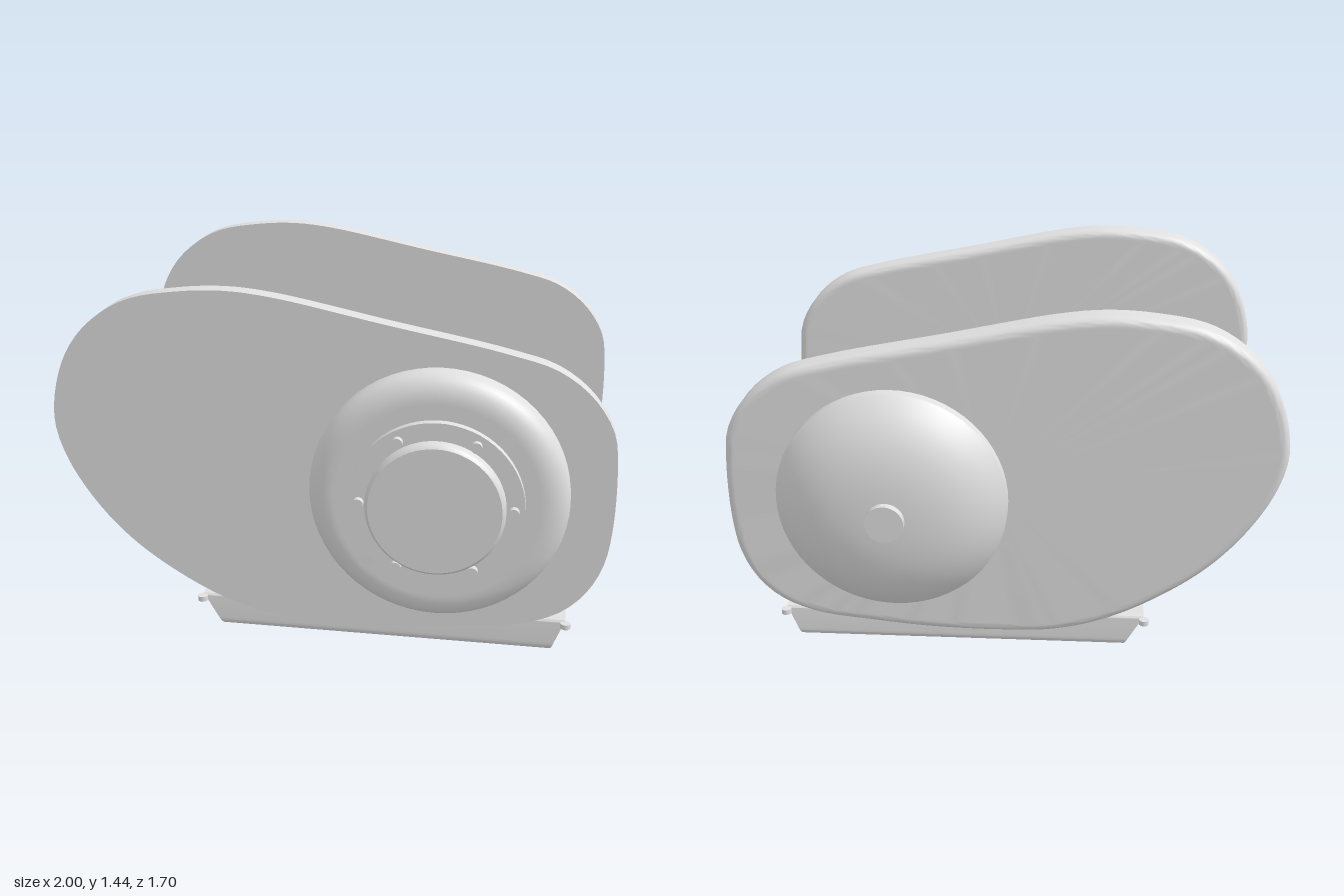
import * as THREE from 'three';
import { toCreasedNormals } from 'three/addons/utils/BufferGeometryUtils.js';

const castMetal = new THREE.MeshStandardMaterial({ color: 0xe0e0e0 });
castMetal.name = 'castMetal';

const HUB_X = 0.395, HUB_Y = 0.752;

function addMesh(parent, name, geometry, x = 0, y = 0, z = 0) {
  const mesh = new THREE.Mesh(geometry, castMetal);
  mesh.name = name;
  mesh.position.set(x, y, z);
  parent.add(mesh);
  return mesh;
}

// Turned part: profile of [radius, height], axis along +z (dir 1) or -z (dir -1)
function turned(profile, dir) {
  const points = profile.map(([r, h]) => new THREE.Vector2(r, h));
  const geo = new THREE.LatheGeometry(points, 64).rotateX(dir * Math.PI / 2);
  return toCreasedNormals(geo, 0.6);
}

// Side cover: egg-shaped slab, sharp front rim and rounded back rim
function coverGeometry(depth, radius) {
  const outline = [
    [-1, 0.95], [-0.965, 1.13], [-0.9, 1.25], [-0.805, 1.34], [-0.69, 1.4], [-0.53, 1.43],
    [-0.365, 1.44], [-0.2, 1.425], [0.2, 1.345], [0.62, 1.26], [0.785, 1.21], [0.905, 1.12],
    [0.98, 1], [0.998, 0.88], [0.998, 0.64], [0.975, 0.5], [0.92, 0.39], [0.835, 0.308],
    [0.7, 0.252], [0.49, 0.223], [0.275, 0.203], [0.035, 0.197], [-0.18, 0.207], [-0.365, 0.255],
    [-0.55, 0.347], [-0.74, 0.485], [-0.88, 0.645], [-0.97, 0.81],
  ].map(([x, y]) => new THREE.Vector3(x, y, 0));
  const curve = new THREE.CatmullRomCurve3(outline, true);
  const n = 128;

  const rings = [{ inset: 0, z: depth }];
  for (let k = 0; k <= 6; k++) {
    const a = (k / 6) * Math.PI / 2;
    rings.push({ inset: radius * (1 - Math.cos(a)), z: radius * (1 - Math.sin(a)) });
  }
  rings.push({ inset: radius + 0.008, z: 0 }); // keeps the back face evenly flat
  const positions = [], index = [];
  for (const { inset, z } of rings) {
    for (let i = 0; i < n; i++) {
      const p = curve.getPointAt(i / n), t = curve.getTangentAt(i / n);
      positions.push(p.x + t.y * inset, p.y - t.x * inset, z);
    }
  }
  for (let k = 0; k < rings.length - 1; k++) {
    for (let i = 0; i < n; i++) {
      const j = (i + 1) % n;
      const a = k * n + i, b = k * n + j, c = a + n, d = b + n;
      index.push(a, b, c, b, d, c);
    }
  }
  // Flat front and back faces
  const front = rings.length * n, back = front + 1, last = (rings.length - 1) * n;
  positions.push(0.05, 0.8, depth, 0.05, 0.8, 0);
  for (let i = 0; i < n; i++) {
    const j = (i + 1) % n;
    index.push(front, j, i, back, last + i, last + j);
  }
  const geo = new THREE.BufferGeometry();
  geo.setAttribute('position', new THREE.Float32BufferAttribute(positions, 3));
  geo.setIndex(index);
  return toCreasedNormals(geo, 0.6);
}

// Pan: rounded cross-section run along x, with ends leaning outward to the top
function panGeometry() {
  const w = 0.467, y0 = 0.035, y1 = 0.172, rb = 0.03, rt = 0.014, e = 0.006;
  const s = new THREE.Shape();
  // Points just past each corner (offset e) keep the flat sides evenly shaded
  s.moveTo(-w + rb + e, y0);
  s.lineTo(w - rb - e, y0);
  s.absarc(w - rb, y0 + rb, rb, -Math.PI / 2, 0);
  s.lineTo(w, y0 + rb + e);
  s.lineTo(w, y1 - rt - e);
  s.absarc(w - rt, y1 - rt, rt, 0, Math.PI / 2);
  s.lineTo(w - rt - e, y1);
  s.lineTo(-w + rt + e, y1);
  s.absarc(-w + rt, y1 - rt, rt, Math.PI / 2, Math.PI);
  s.lineTo(-w, y1 - rt - e);
  s.lineTo(-w, y0 + rb + e);
  s.absarc(-w + rb, y0 + rb, rb, Math.PI, Math.PI * 1.5);
  const geo = new THREE.ExtrudeGeometry(s, { depth: 1, bevelEnabled: false, curveSegments: 6 });
  geo.rotateY(Math.PI / 2);
  const pos = geo.attributes.position;
  for (let i = 0; i < pos.count; i++) {
    const t = (pos.getY(i) - y0) / (y1 - y0);
    const left = THREE.MathUtils.lerp(-0.457, -0.535, t);
    const right = THREE.MathUtils.lerp(0.815, 0.868, t);
    pos.setX(i, THREE.MathUtils.lerp(left, right, pos.getX(i)));
  }
  return toCreasedNormals(geo, 0.6);
}

export function createModel() {
  const model = new THREE.Group();
  model.name = 'engineCovers';

  // Front and rear side covers share one shape
  const cover = coverGeometry(0.095, 0.032);
  addMesh(model, 'frontCover', cover, 0, 0, 0.57);
  addMesh(model, 'rearCover', cover, 0, 0, -0.64);

  // Front hub: rounded drum, flange, cap and bolts
  const frontHub = new THREE.Group();
  frontHub.name = 'frontHub';
  frontHub.position.set(HUB_X, HUB_Y, 0);
  model.add(frontHub);
  const drum = [[0.453, 0.66], [0.453, 0.705]];
  for (let k = 1; k <= 8; k++) {
    const a = (k / 8) * Math.PI / 2;
    drum.push([0.363 + 0.09 * Math.cos(a), 0.705 + 0.066 * Math.sin(a)]);
  }
  drum.push([0.355, 0.771], [0, 0.771]);
  addMesh(frontHub, 'drum', turned(drum, 1));
  addMesh(frontHub, 'flange', turned([[0.303, 0.765], [0.303, 0.8], [0, 0.8]], 1));
  addMesh(frontHub, 'cap', turned([
    [0.24, 0.798], [0.24, 0.828], [0.236, 0.838], [0.228, 0.845], [0.222, 0.845], [0, 0.845],
  ], 1));
  const hubBolt = new THREE.CylinderGeometry(0.019, 0.019, 0.024, 16).rotateX(Math.PI / 2);
  for (let i = 0; i < 6; i++) {
    const a = (i * Math.PI) / 3;
    addMesh(frontHub, 'hubBolt', hubBolt, 0.265 * Math.cos(a), 0.265 * Math.sin(a), 0.81);
  }

  // Rear hub: shallow dome with a centre knob
  const rearHub = new THREE.Group();
  rearHub.name = 'rearHub';
  rearHub.position.set(HUB_X, HUB_Y, 0);
  model.add(rearHub);
  addMesh(rearHub, 'dome', turned([
    [0.415, 0.635], [0.415, 0.68], [0.405, 0.692], [0.37, 0.727], [0.32, 0.764], [0.26, 0.792],
    [0.19, 0.812], [0.11, 0.822], [0, 0.825],
  ], -1));
  addMesh(rearHub, 'knob', turned([[0.068, 0.815], [0.068, 0.851], [0, 0.851]], -1));

  // Bottom pan with rim bolts and a hexagonal drain plug
  addMesh(model, 'pan', panGeometry(), 0, 0, 0.01);
  const rimBolt = new THREE.CylinderGeometry(0.019, 0.019, 0.02, 16);
  for (const z of [0.486, -0.468]) {
    for (let i = 0; i < 6; i++) {
      addMesh(model, 'rimBolt', rimBolt, -0.535 + i * 0.2806, 0.156, z);
    }
  }
  const plug = new THREE.CylinderGeometry(0.042, 0.042, 0.04, 6).rotateY(Math.PI / 6);
  addMesh(model, 'drainPlug', toCreasedNormals(plug, 0.6), 0.166, 0.02, 0.012);

  return model;
}
